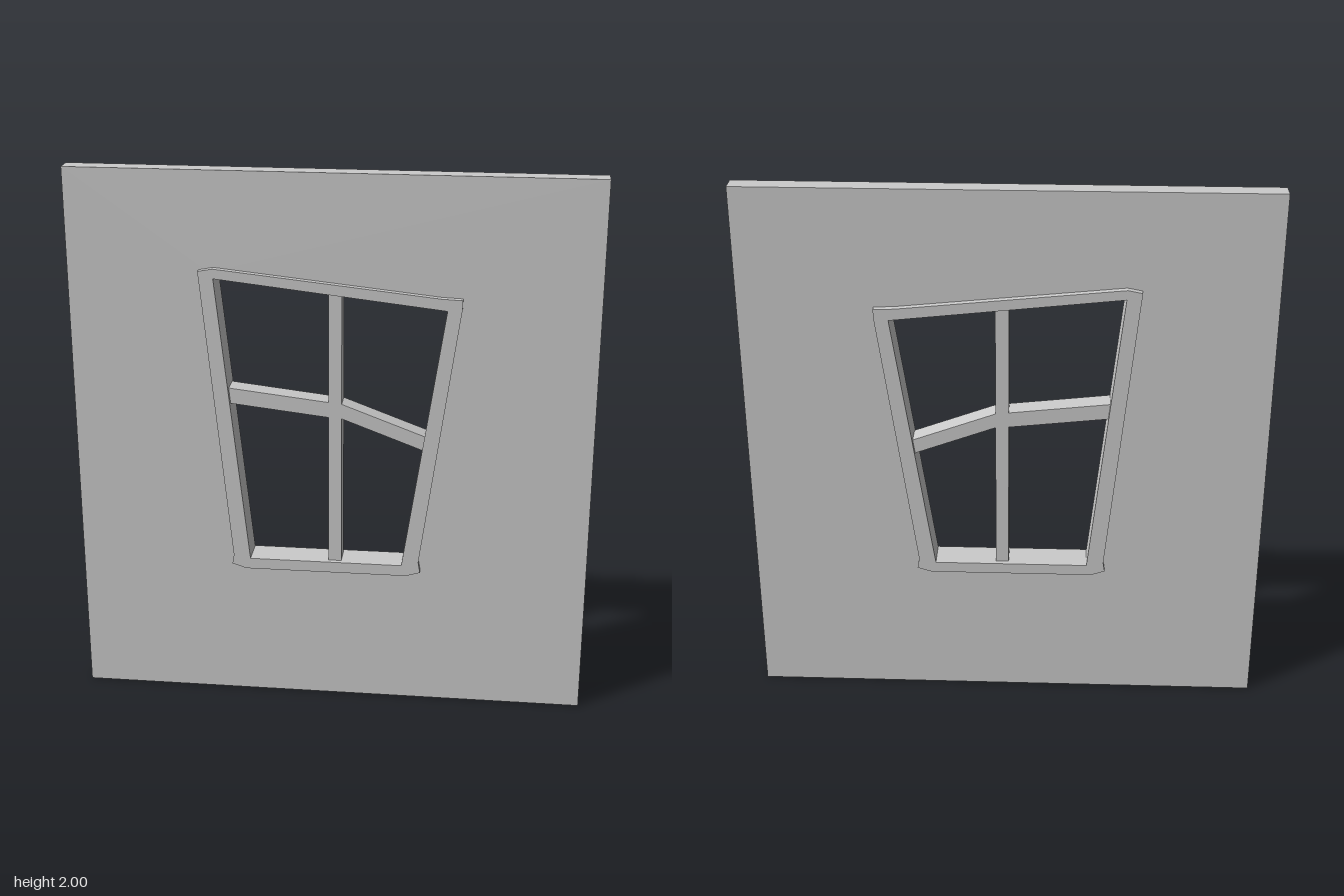
import * as THREE from 'three';

const material = new THREE.MeshStandardMaterial({ color: 0xcccccc, flatShading: true });
const toPoints = (pts) => pts.map(([x, y]) => new THREE.Vector2(x, y));

// Flat outline (counter-clockwise) with an optional hole (clockwise), extruded evenly about z = 0
function slab(name, outline, halfDepth, hole) {
  const shape = new THREE.Shape(toPoints(outline));
  if (hole) shape.holes.push(new THREE.Path(toPoints(hole)));
  const geometry = new THREE.ExtrudeGeometry(shape, { depth: halfDepth * 2, bevelEnabled: false });
  geometry.translate(0, 0, -halfDepth);
  const mesh = new THREE.Mesh(geometry, material);
  mesh.name = name;
  return mesh;
}

export function createModel() {
  const group = new THREE.Group();
  group.name = 'wallWithCrookedWindow';

  const wallHalf = 0.034;
  const frameHalf = 0.057;
  const barHalf = 0.038;

  // Crooked window opening and the frame outline around it
  const opening = [[-0.411, 1.624], [0.406, 1.534], [0.261, 0.558], [-0.298, 0.558]];
  const frameOutline = [
    [-0.36, 0.57], [-0.366, 0.534], [-0.314, 0.517], [0.278, 0.517], [0.33, 0.533], [0.323, 0.573],
    [0.457, 1.54], [0.458, 1.574], [0.385, 1.577], [-0.413, 1.659], [-0.465, 1.649],
  ];
  // Wall cut hidden behind the frame
  const wallCut = [[-0.43, 1.64], [0.425, 1.553], [0.28, 0.545], [-0.32, 0.545]];

  group.add(slab('wall', [[-0.934, 0], [0.934, 0], [0.934, 2], [-0.934, 2]], wallHalf, wallCut));
  group.add(slab('windowFrame', frameOutline, frameHalf, opening));

  // Upright and the two bent arms of the crossbar, in one piece
  group.add(slab('windowBars', [
    [-0.009, 0.55], [0.038, 0.55], [0.038, 1.117], [0.332, 1.007], [0.339, 1.06],
    [0.038, 1.172], [0.038, 1.582], [-0.009, 1.587], [-0.009, 1.177],
    [-0.372, 1.218], [-0.366, 1.16], [-0.009, 1.12],
  ], barHalf));

  return group;
}
